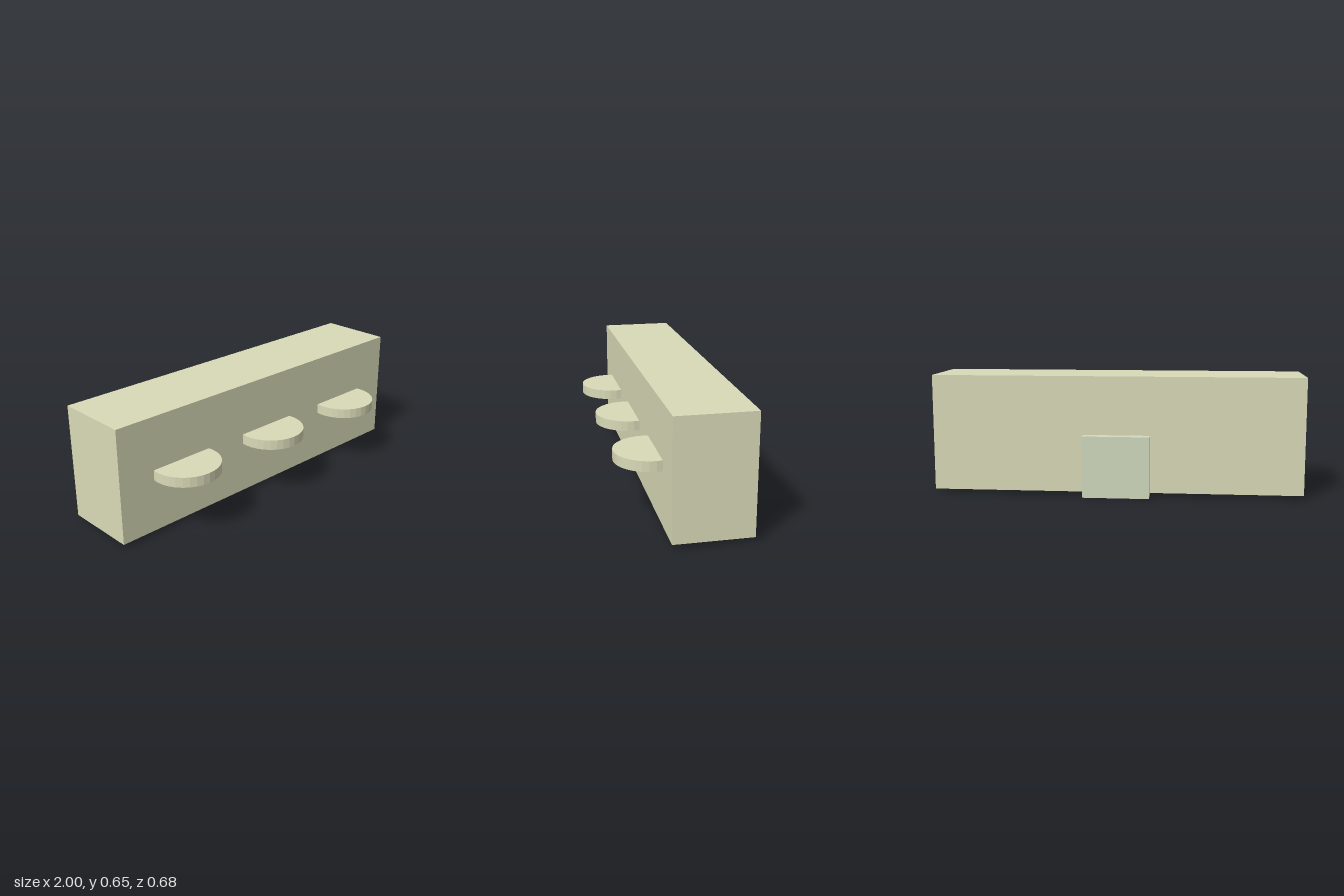
import * as THREE from 'three';

export function createModel() {
  const model = new THREE.Group();
  const bodyMat = new THREE.MeshStandardMaterial({ color: 0xdadbb8, flatShading: true });
  const bracketMat = new THREE.MeshStandardMaterial({ color: 0xd2dbc0, flatShading: true });

  const add = (name, geometry, material, x, y, z) => {
    const mesh = new THREE.Mesh(geometry, material);
    mesh.name = name;
    mesh.position.set(x, y, z);
    model.add(mesh);
  };

  // Long main block
  add('body', new THREE.BoxGeometry(2, 0.628, 0.407), bodyMat, 0, 0.335, -0.079);

  // Block set into the lower back edge, slightly proud of the body
  add('rearBracket', new THREE.BoxGeometry(0.36, 0.333, 0.222), bracketMat, 0, 0.1665, -0.226);

  // Three flat discs half sunk into the front
  const disc = new THREE.CylinderGeometry(0.185, 0.185, 0.055, 32);
  [['rightDisc', -0.61], ['middleDisc', 0], ['leftDisc', 0.61]].forEach(([name, x]) =>
    add(name, disc, bodyMat, x, 0.335, 0.153));

  return model;
}
